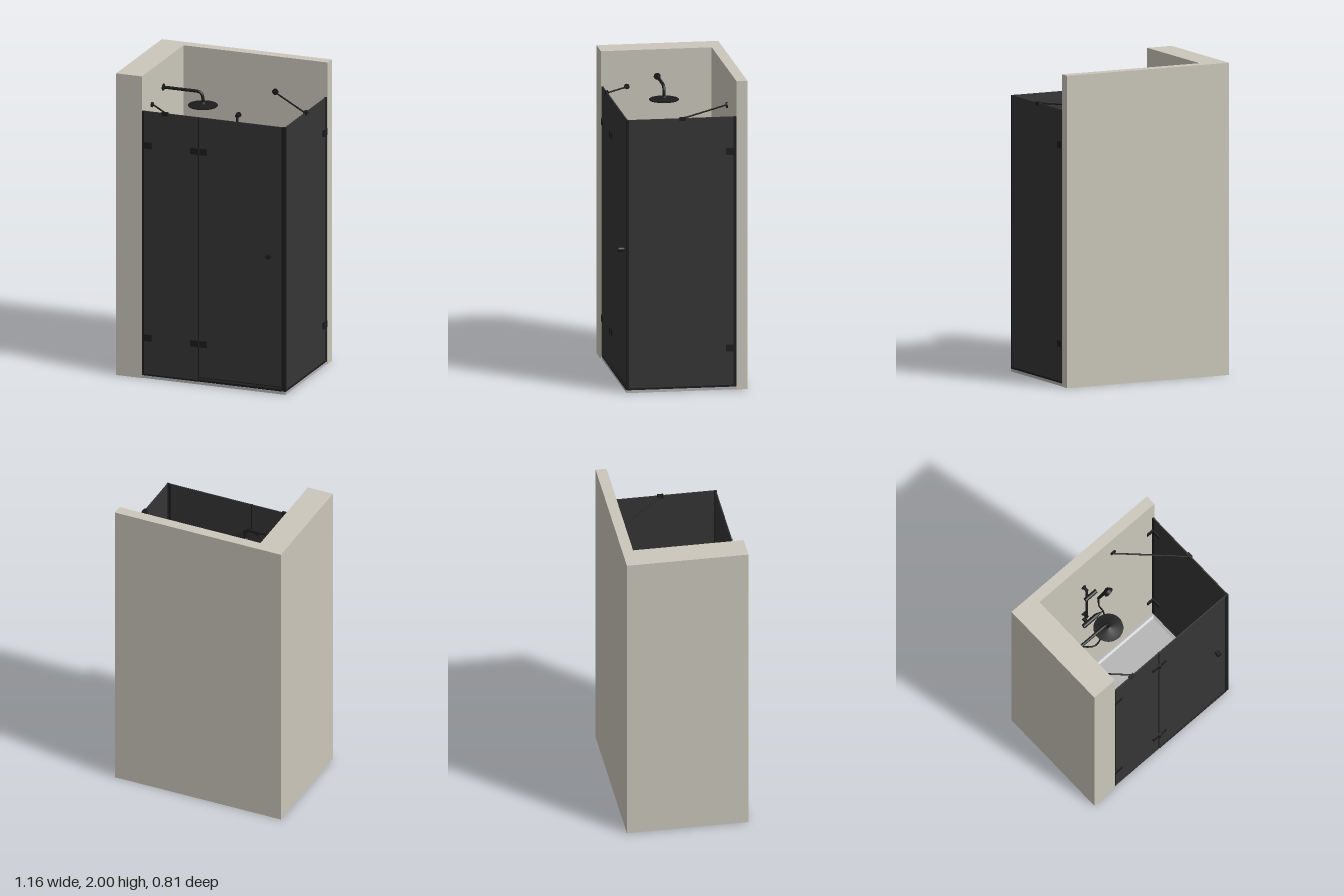
import * as THREE from 'three';

const mat = (color, extra = {}) => new THREE.MeshStandardMaterial({ color, ...extra });
const V = (x, y, z) => new THREE.Vector3(x, y, z);

export function createModel() {
  const root = new THREE.Group();
  const wallMat = mat(0xcbc7bb);
  const trayMat = mat(0xb4b4b4, { flatShading: true });
  const glassMat = mat(0x353535);
  const black = mat(0x1c1c1c);

  const add = (name, geo, material = black, parent = root) => {
    const m = new THREE.Mesh(geo, material);
    m.name = name;
    parent.add(m);
    return m;
  };
  // box given by its min and max on each axis
  const box = (name, x0, x1, y0, y1, z0, z1, material = black, parent = root) => {
    const m = add(name, new THREE.BoxGeometry(x1 - x0, y1 - y0, z1 - z0), material, parent);
    m.position.set((x0 + x1) / 2, (y0 + y1) / 2, (z0 + z1) / 2);
    return m;
  };
  // round bar between two points
  const rod = (name, a, b, r0, r1 = r0, parent = root) => {
    const m = add(name, new THREE.CylinderGeometry(r1, r0, a.distanceTo(b), 24), black, parent);
    m.position.copy(a).add(b).multiplyScalar(0.5);
    m.quaternion.setFromUnitVectors(V(0, 1, 0), b.clone().sub(a).normalize());
    return m;
  };
  const group = (name) => {
    const g = new THREE.Group();
    g.name = name;
    root.add(g);
    return g;
  };

  // L-shaped wall
  const plan = new THREE.Shape([
    [-0.58, 0.405], [-0.58, -0.375], [-0.405, -0.375],
    [-0.405, 0.335], [0.578, 0.335], [0.578, 0.405],
  ].map(([x, y]) => new THREE.Vector2(x, y)));
  const wall = new THREE.ExtrudeGeometry(plan, { depth: 2, bevelEnabled: false });
  wall.rotateX(-Math.PI / 2);
  add('walls', wall, wallMat);

  // Tray: rectangular rings joined from the underside up and into the basin
  const rings = [[0, 0], [0, 0.018], [0.016, 0.018], [0.03, 0.01]];
  const pos = [], idx = [];
  for (const [inset, y] of rings) {
    const x0 = -0.405 + inset, x1 = 0.572 - inset, z0 = -0.335 + inset, z1 = 0.368 - inset;
    pos.push(x0, y, z1, x1, y, z1, x1, y, z0, x0, y, z0);
  }
  for (let r = 0; r < rings.length - 1; r++) {
    for (let i = 0; i < 4; i++) {
      const a = r * 4 + i, b = r * 4 + (i + 1) % 4;
      idx.push(a, b, b + 4, a, b + 4, a + 4);
    }
  }
  idx.push(0, 2, 1, 0, 3, 2, 12, 13, 14, 12, 14, 15);
  let tray = new THREE.BufferGeometry();
  tray.setAttribute('position', new THREE.Float32BufferAttribute(pos, 3));
  tray.setIndex(idx);
  tray = tray.toNonIndexed();
  tray.computeVertexNormals();
  add('tray', tray, trayMat);

  // Glass panels
  const top = 1.77;
  box('fixedGlass', -0.402, -0.022, 0.02, top, 0.36, 0.367, glassMat);
  box('doorGlass', -0.018, 0.562, 0.03, top, 0.36, 0.367, glassMat);
  box('sideGlass', 0.563, 0.57, 0.02, top, -0.333, 0.366, glassMat);

  // Seals and edge strips
  box('leftWallSeal', -0.405, -0.392, 0.02, top, 0.357, 0.37);
  box('centreSeal', -0.023, -0.017, 0.02, top, 0.358, 0.37);
  box('doorEdgeSeal', 0.545, 0.564, 0.02, top, 0.357, 0.369);
  box('cornerSeal', 0.56, 0.572, 0.02, top, 0.352, 0.37);
  box('backWallSeal', 0.56, 0.572, 0.02, top, -0.335, -0.318);
  box('fixedBottomSeal', -0.402, -0.02, 0.018, 0.028, 0.357, 0.369);
  box('sideBottomSeal', 0.56, 0.572, 0.018, 0.03, -0.333, 0.366);
  box('doorDripSeal', -0.02, 0.55, 0.02, 0.034, 0.352, 0.372);
  box('doorDripLine', -0.015, 0.555, 0.044, 0.05, 0.358, 0.369);

  // Hinges at two heights
  for (const y of [0.27, 1.545]) {
    const a = y - 0.021, b = y + 0.021, g = group('hinges');
    box('leftHinge', -0.402, -0.34, a, b, 0.352, 0.376, black, g);
    box('leftHingePlate', -0.405, -0.397, a, b, 0.31, 0.36, black, g);
    box('middleHingeFixed', -0.075, -0.023, a, b, 0.352, 0.376, black, g);
    box('middleHingeDoor', -0.017, 0.037, a, b, 0.352, 0.376, black, g);
    rod('hingePin', V(-0.02, a, 0.376), V(-0.02, b, 0.376), 0.01, 0.01, g);
    box('sideHinge', 0.556, 0.579, a, b, -0.33, -0.268, black, g);
    box('sideHingePlate', 0.515, 0.57, a, b, -0.335, -0.327, black, g);
  }

  // Door knob, inside and out
  rod('doorKnob', V(0.465, 0.91, 0.322), V(0.465, 0.91, 0.355), 0.015);
  rod('doorKnob', V(0.465, 0.91, 0.372), V(0.465, 0.91, 0.405), 0.015);
  rod('doorKnobStem', V(0.465, 0.91, 0.35), V(0.465, 0.91, 0.375), 0.009);

  // Diagonal stays from wall to glass
  const stays = group('stays');
  const yS = 1.766;
  rod('frontStay', V(-0.398, yS, 0.205), V(-0.25, yS, 0.353), 0.005, 0.005, stays);
  rod('frontStayFlange', V(-0.405, yS, 0.21), V(-0.396, yS, 0.21), 0.017, 0.017, stays);
  box('frontStayClamp', -0.272, -0.232, 1.754, 1.776, 0.353, 0.372, black, stays);
  rod('backStay', V(0.22, yS, -0.325), V(0.557, yS, 0.008), 0.005, 0.005, stays);
  rod('backStayFlange', V(0.222, yS, -0.335), V(0.222, yS, -0.326), 0.02, 0.02, stays);
  box('sideStayClamp', 0.553, 0.576, 1.754, 1.776, -0.012, 0.028, black, stays);

  // Overhead shower: bent arm, wall flange and flat round head
  const arm = new THREE.CurvePath();
  arm.add(new THREE.LineCurve3(V(-0.405, 1.825, 0.015), V(-0.18, 1.825, 0.015)));
  arm.add(new THREE.QuadraticBezierCurve3(V(-0.18, 1.825, 0.015), V(-0.133, 1.825, 0.015), V(-0.133, 1.778, 0.015)));
  arm.add(new THREE.LineCurve3(V(-0.133, 1.778, 0.015), V(-0.133, 1.745, 0.015)));
  add('showerArm', new THREE.TubeGeometry(arm, 60, 0.01, 16));
  rod('armFlange', V(-0.405, 1.825, 0.015), V(-0.398, 1.825, 0.015), 0.022);
  const head = [[0, 0], [0.092, 0], [0.095, 0.004], [0.093, 0.008], [0.02, 0.011], [0.017, 0.026], [0, 0.026]];
  const headMesh = add('showerHead', new THREE.LatheGeometry(head.map(([x, y]) => new THREE.Vector2(x, y)), 48));
  headMesh.position.set(-0.133, 1.732, 0.015);

  // Hand shower on a wall rail
  const hand = group('handShower');
  rod('rail', V(-0.028, 1.08, -0.305), V(-0.028, 1.6, -0.305), 0.008, 0.008, hand);
  for (const y of [1.1, 1.585]) {
    rod('railMount', V(-0.028, y, -0.335), V(-0.028, y, -0.297), 0.011, 0.011, hand);
    rod('railFlange', V(-0.028, y, -0.335), V(-0.028, y, -0.328), 0.017, 0.017, hand);
  }
  rod('slider', V(-0.05, 1.46, -0.295), V(0.045, 1.46, -0.295), 0.014, 0.014, hand);
  rod('handle', V(0.05, 1.34, -0.28), V(0.082, 1.49, -0.242), 0.009, 0.012, hand);
  rod('sprayDisc', V(0.082, 1.51, -0.243), V(0.088, 1.495, -0.225), 0.022, 0.034, hand);

  // Mixer with lever
  const mixer = group('mixer');
  rod('mixerBody', V(-0.065, 1.0, -0.295), V(0.05, 1.0, -0.295), 0.015, 0.015, mixer);
  rod('mixerLever', V(0.05, 1.0, -0.295), V(0.09, 1.0, -0.288), 0.013, 0.004, mixer);
  rod('mixerMount', V(-0.028, 1.0, -0.335), V(-0.028, 1.0, -0.29), 0.012, 0.012, mixer);

  // Hose outlet and hose
  box('hoseOutlet', -0.21, -0.175, 0.98, 1.02, -0.335, -0.275);
  const hose = new THREE.CatmullRomCurve3([
    V(-0.18, 0.985, -0.315), V(-0.1, 0.72, -0.285), V(0, 0.62, -0.252), V(0.06, 0.8, -0.247),
    V(0.08, 1.05, -0.262), V(0.05, 1.22, -0.275), V(0.05, 1.34, -0.28),
  ]);
  add('hose', new THREE.TubeGeometry(hose, 60, 0.005, 10));

  return root;
}
